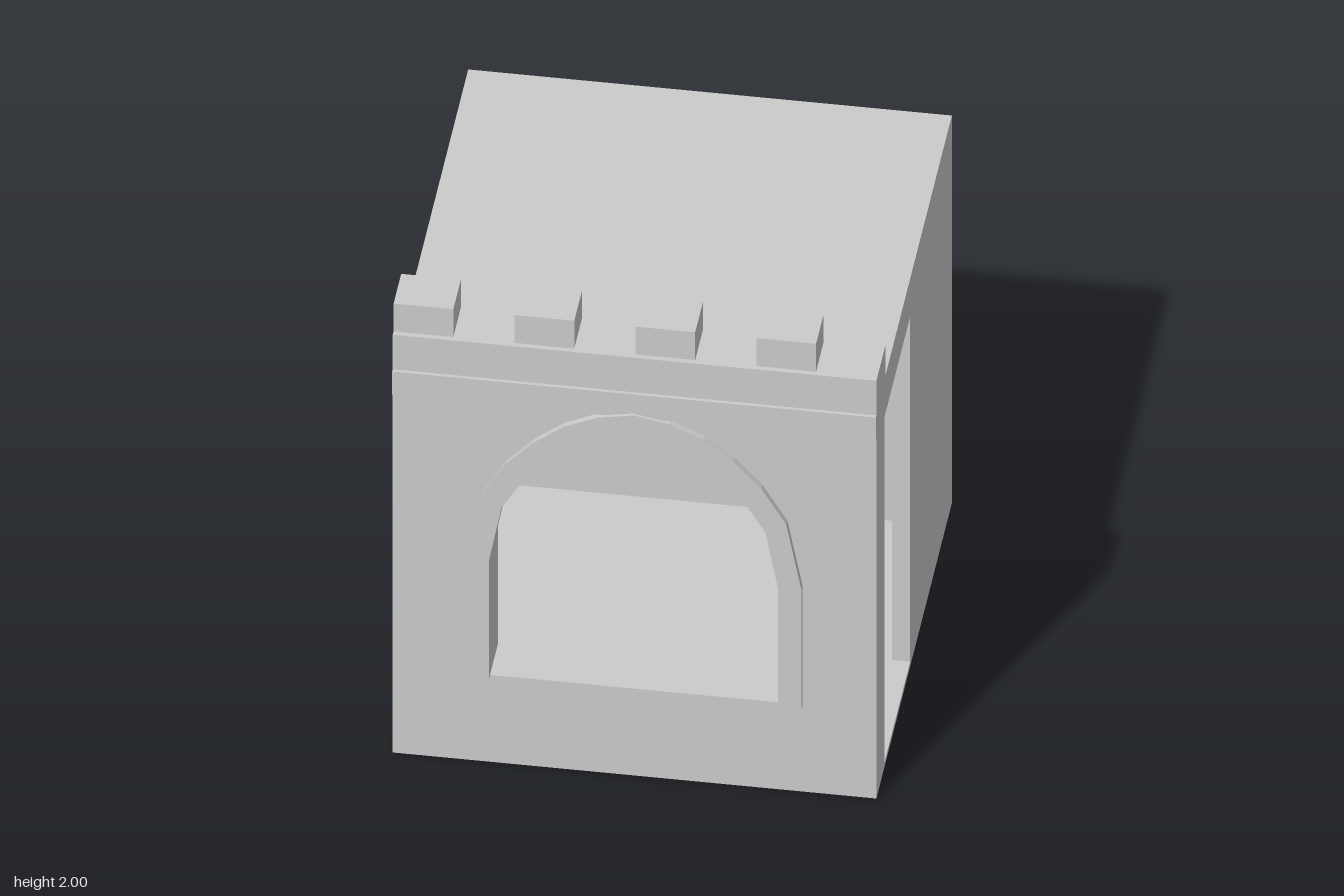
import * as THREE from 'three';

const HALF = 0.87, FRONT = 0.86, BACK = -0.88, FLOOR = 0.02, CEILING = 1.57, ROOF = 1.74;

const material = new THREE.MeshStandardMaterial({ color: 0xcccccc, flatShading: true });

// Right half of each pointed arch, from springing to apex
const windowArch = [[0.52, 0.92], [0.475, 1.165], [0.40, 1.29], [0.31, 1.39], [0.20, 1.47], [0.10, 1.512], [0, 1.535]];
const trimArch = [[0.605, 0.92], [0.55, 1.21], [0.46, 1.36], [0.36, 1.47], [0.25, 1.555], [0.13, 1.61], [0, 1.635]];
const nicheArch = [[0.805, 0.68], [0.69, 1.15], [0.54, 1.33], [0.38, 1.45], [0.2, 1.53], [0, 1.56]];

// Full arch outline standing on a base height, from bottom right round to bottom left
function archOutline(half, base) {
  const right = [[half[0][0], base], ...half];
  const left = right.slice(0, -1).reverse().map(([x, y]) => [-x, y]);
  return [...right, ...left].map(([x, y]) => new THREE.Vector2(x, y));
}

export function createModel() {
  const model = new THREE.Group();
  model.name = 'gatehouse';

  const add = (name, geometry) => {
    const mesh = new THREE.Mesh(geometry, material);
    mesh.name = name;
    model.add(mesh);
  };

  // Box given by its limits on each axis
  const box = (name, x0, x1, y0, y1, z0, z1) => {
    const g = new THREE.BoxGeometry(x1 - x0, y1 - y0, z1 - z0);
    g.translate((x0 + x1) / 2, (y0 + y1) / 2, (z0 + z1) / 2);
    add(name, g);
  };

  // Flat shape extruded between two depths
  const slab = (name, shape, z0, z1) => {
    const g = new THREE.ExtrudeGeometry(shape, { depth: z1 - z0, bevelEnabled: false });
    g.translate(0, 0, z0);
    add(name, g);
  };

  const rectangle = (y0, y1) => [[-HALF, y0], [HALF, y0], [HALF, y1], [-HALF, y1]]
    .map(([x, y]) => new THREE.Vector2(x, y));

  // Floor, roof and back wall
  box('floor', -HALF, HALF, 0, FLOOR, BACK, FRONT);
  box('roof', -HALF, HALF, CEILING, ROOF, BACK, 0.67);
  box('backWall', -HALF, HALF, FLOOR, CEILING, BACK, -0.72);

  // Front wall with arched window
  const wall = new THREE.Shape(rectangle(FLOOR, ROOF));
  wall.holes.push(new THREE.Path(archOutline(windowArch, 0.39)));
  slab('frontWall', wall, 0.67, FRONT);

  // Raised surround, open along the sill
  slab('windowSurround', new THREE.Shape([
    ...archOutline(trimArch, 0.39),
    ...archOutline(windowArch, 0.39).reverse(),
  ]), FRONT, 0.885);

  // Vaulted niche behind the side passage, open at the floor
  slab('vaultedNiche', new THREE.Shape([
    new THREE.Vector2(HALF, FLOOR), new THREE.Vector2(HALF, CEILING),
    new THREE.Vector2(-HALF, CEILING), new THREE.Vector2(-HALF, FLOOR),
    ...archOutline(nicheArch, FLOOR).reverse(),
  ]), -0.72, 0.08);

  // Ceiling beams over the passage
  for (let i = 0; i < 4; i++) {
    const x = 0.08 + i * 0.22;
    for (const s of [-1, 1]) {
      const c = s * (x + 0.025);
      box('ceilingBeam', c - 0.025, c + 0.025, 1.505, CEILING, 0.08, 0.67);
    }
  }

  // Parapet, string course and merlons
  box('parapet', -HALF, HALF, ROOF, 1.875, 0.645, FRONT);
  box('stringCourse', -HALF, HALF, 1.615, 1.72, FRONT, 0.873);
  for (let i = 0; i < 4; i++) {
    const x = -HALF + i * 0.435;
    box('merlon', x, x + 0.215, 1.875, 2, 0.665, 0.84);
  }

  return model;
}
